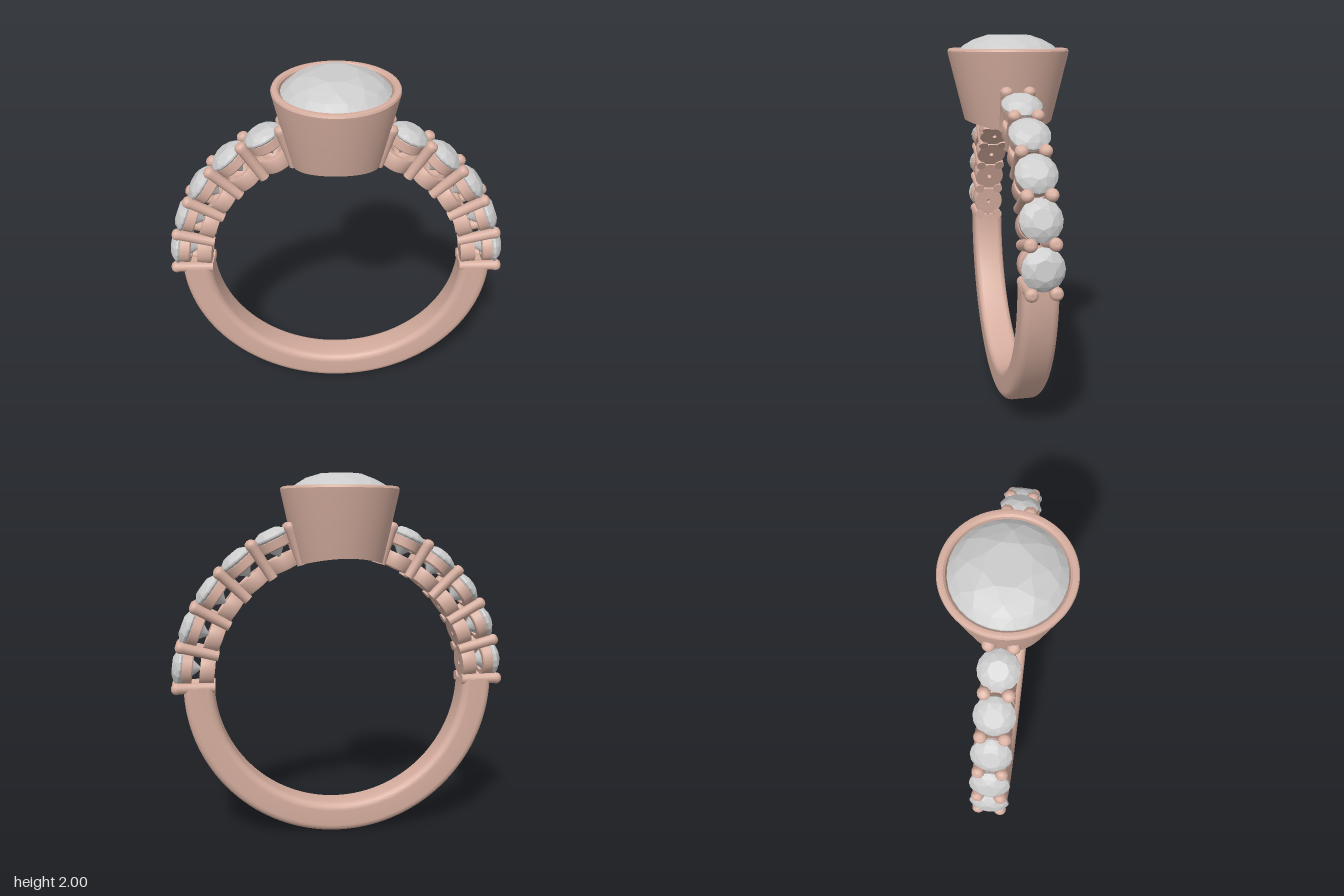
import * as THREE from 'three';
import { toCreasedNormals } from 'three/addons/utils/BufferGeometryUtils.js';
import { ConvexGeometry } from 'three/addons/geometries/ConvexGeometry.js';

const CENTRE_Y = 0.865, INNER = 0.695, OUTER = 0.86;
const STONES = 5, STEP = THREE.MathUtils.degToRad(14.4);

const metal = new THREE.MeshStandardMaterial({ color: 0xd6ae9f });
const metalThin = new THREE.MeshStandardMaterial({ color: 0xd6ae9f, side: THREE.DoubleSide });
const stone = new THREE.MeshStandardMaterial({ color: 0xcccccc, flatShading: true });

const v2 = (pairs) => pairs.map(([x, y]) => new THREE.Vector2(x, y));

function add(parent, name, geometry, material) {
  const mesh = new THREE.Mesh(geometry, material);
  mesh.name = name;
  parent.add(mesh);
  return mesh;
}

// Turned solid with sharp edges kept
function lathe(pairs, segments) {
  return toCreasedNormals(new THREE.LatheGeometry(v2(pairs), segments), 0.6);
}

// Faceted round stone, each ring being [count, radius, height, turn in steps]
function gemGeometry(rings, culet) {
  const points = [new THREE.Vector3(0, culet, 0)];
  for (const [count, r, y, turn] of rings) {
    for (let i = 0; i < count; i++) {
      const a = ((i + turn) / count) * Math.PI * 2;
      points.push(new THREE.Vector3(r * Math.sin(a), y, r * Math.cos(a)));
    }
  }
  return new ConvexGeometry(points);
}

// Rounded band section, x = radius, y = width
function bandSection() {
  const w = 0.09, c = 0.04, s = new THREE.Shape(), q = Math.PI / 2;
  s.absarc(OUTER - c, -w + c, c, -q, 0);
  s.absarc(OUTER - c, w - c, c, 0, q);
  s.absarc(INNER + c, w - c, c, q, 2 * q);
  s.absarc(INNER + c, -w + c, c, 2 * q, 3 * q);
  s.closePath();
  return s;
}

function buildBand() {
  const band = new THREE.Group();
  band.name = 'band';
  band.position.y = CENTRE_Y;
  const section = bandSection();
  const points = section.getPoints(6);
  const sweep = new THREE.LatheGeometry(points, 72, -Math.PI / 2, Math.PI);
  sweep.rotateX(Math.PI / 2);
  add(band, 'lowerBand', toCreasedNormals(sweep, 0.6), metal);
  for (const side of [0, Math.PI]) {
    const cap = new THREE.ShapeGeometry(section, 6).rotateX(Math.PI / 2).rotateY(side);
    add(band, 'bandEnd', cap, metalThin);
  }
  return band;
}

function buildCentreSetting() {
  const group = new THREE.Group();
  group.name = 'centreSetting';
  // Tapered cup with a hole below and a rounded rim
  const bezel = new THREE.LatheGeometry(v2([
    [0.115, 1.55], [0.15, 1.55], [0.19, 1.55], [0.235, 1.55],
    [0.319, 1.905], [0.321, 1.918], [0.316, 1.928], [0.305, 1.932], [0.29, 1.93],
    [0.28, 1.92], [0.275, 1.87], [0.115, 1.68], [0.115, 1.55],
  ]), 72);
  // Bend the underside to follow the finger opening
  const p = bezel.attributes.position;
  for (let i = 0; i < p.count; i++) {
    if (p.getY(i) < 1.56) p.setY(i, CENTRE_Y + Math.sqrt(INNER ** 2 - p.getX(i) ** 2));
  }
  add(group, 'bezel', toCreasedNormals(bezel, 0.6), metal);
  add(group, 'centreStone', gemGeometry([
    [32, 0.274, 1.895, 0], [32, 0.274, 1.912, 0], [16, 0.235, 1.948, 0.5],
    [8, 0.185, 1.977, 0], [8, 0.115, 2.0, 0.5], [8, 0.15, 1.765, 0.5],
  ], 1.67), stone);
  return group;
}

// Heights below are distances from the ring's centre
const prongGeometry = lathe([
  [0, 0.69], [0.028, 0.69], [0.029, 0.88], [0.033, 0.893], [0.031, 0.908], [0.022, 0.92], [0.01, 0.925], [0, 0.926],
], 16);
const baseGeometry = lathe([
  [0.013, 0.697], [0.085, 0.697], [0.088, 0.703], [0.088, 0.77], [0.085, 0.776],
  [0.055, 0.776], [0.013, 0.735], [0.013, 0.697],
], 32);
const seatGeometry = lathe([
  [0.062, 0.815], [0.086, 0.815], [0.092, 0.821], [0.095, 0.868], [0.091, 0.874],
  [0.084, 0.874], [0.062, 0.84], [0.062, 0.815],
], 32);
const sideGemGeometry = gemGeometry([
  [16, 0.103, 0.88, 0], [16, 0.103, 0.889, 0], [8, 0.083, 0.909, 0.5],
  [8, 0.05, 0.925, 0], [8, 0.055, 0.83, 0.5],
], 0.765);

// Group whose y axis points outward at the given angle
function radial(parent, name, angle) {
  const g = new THREE.Group();
  g.name = name;
  g.position.y = CENTRE_Y;
  g.rotation.z = angle - Math.PI / 2;
  parent.add(g);
  return g;
}

function buildShoulder(name, angleOf) {
  const shoulder = new THREE.Group();
  shoulder.name = name;
  for (let i = 0; i <= STONES; i++) {
    const pair = radial(shoulder, 'prongPair', angleOf(i * STEP));
    for (const z of [-0.058, 0.058]) add(pair, 'prong', prongGeometry, metal).position.z = z;
    if (i === STONES) break;
    const setting = radial(shoulder, 'sideSetting', angleOf((i + 0.5) * STEP));
    add(setting, 'settingBase', baseGeometry, metal);
    add(setting, 'stoneSeat', seatGeometry, metal);
    add(setting, 'sideStone', sideGemGeometry, stone);
  }
  return shoulder;
}

export function createModel() {
  const ring = new THREE.Group();
  ring.name = 'ring';
  ring.add(
    buildBand(),
    buildCentreSetting(),
    buildShoulder('leftShoulder', (a) => a),
    buildShoulder('rightShoulder', (a) => Math.PI - a),
  );
  return ring;
}
